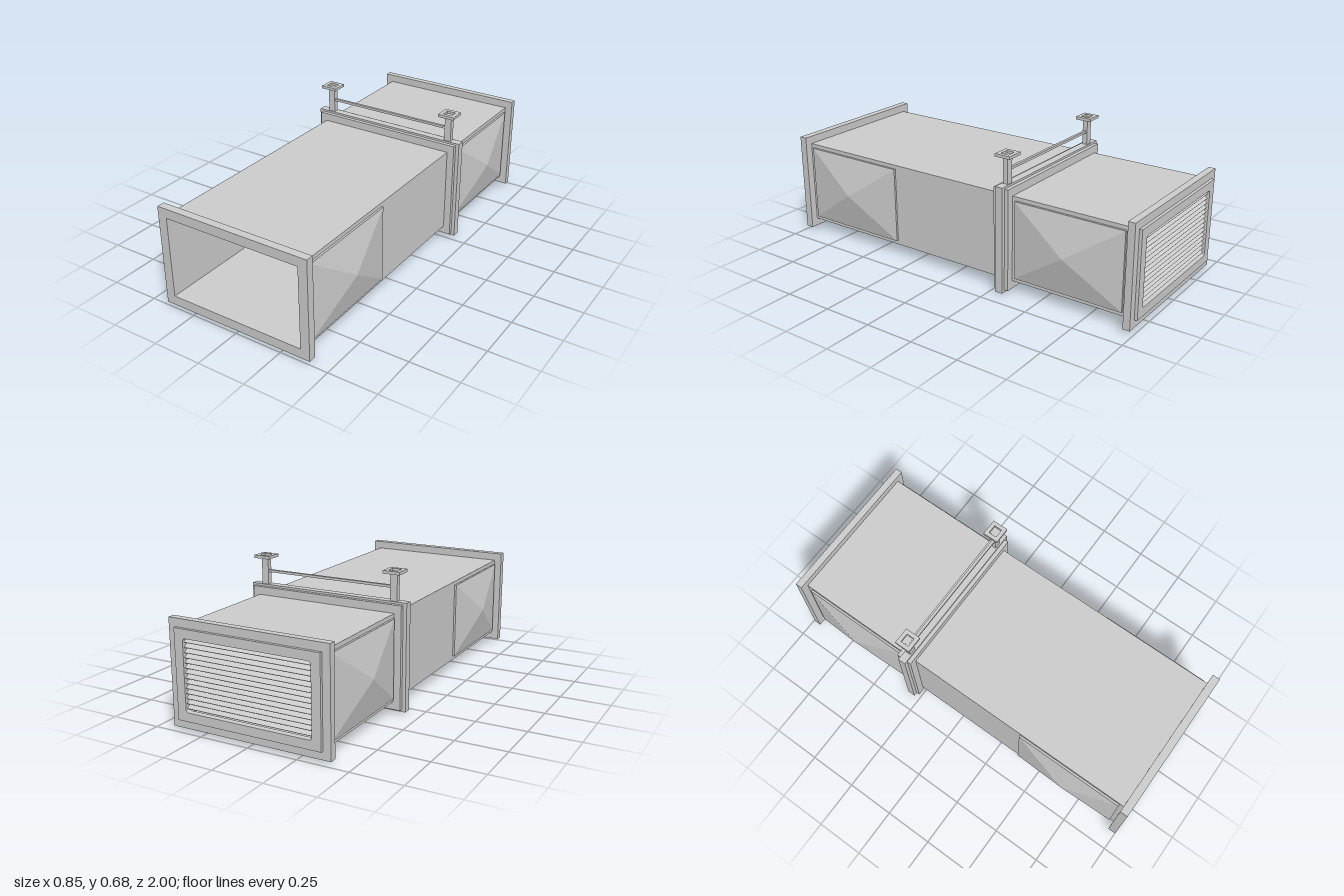
import * as THREE from 'three';

const CY = 0.275; // height of the duct axis
const mat = new THREE.MeshStandardMaterial({ color: 0xcccccc, flatShading: true, side: THREE.DoubleSide });

function add(parent, name, geometry, x = 0, y = 0, z = 0) {
  const mesh = new THREE.Mesh(geometry, mat);
  mesh.name = name;
  mesh.position.set(x, y, z);
  parent.add(mesh);
  return mesh;
}

const box = (w, h, d) => new THREE.BoxGeometry(w, h, d);

// Rectangle path, with optionally rounded corners
function trace(path, w, h, r) {
  const a = w / 2, b = h / 2;
  if (!r) {
    path.moveTo(-a, -b).lineTo(a, -b).lineTo(a, b).lineTo(-a, b).closePath();
  } else {
    path.moveTo(-a + r, -b).lineTo(a - r, -b).quadraticCurveTo(a, -b, a, -b + r)
      .lineTo(a, b - r).quadraticCurveTo(a, b, a - r, b)
      .lineTo(-a + r, b).quadraticCurveTo(-a, b, -a, b - r)
      .lineTo(-a, -b + r).quadraticCurveTo(-a, -b, -a + r, -b);
  }
  return path;
}

// Rectangular ring extruded along z from 0 to depth
function ring(w, h, holeW, holeH, depth, r = 0) {
  const shape = trace(new THREE.Shape(), w, h, 0);
  shape.holes.push(trace(new THREE.Path(), holeW, holeH, r));
  return new THREE.ExtrudeGeometry(shape, { depth, bevelEnabled: false, curveSegments: 4 });
}

// Skin through rectangles [halfX, halfZ, y], closed at the last one
function rectLoft(sections) {
  const pos = [], index = [];
  for (const [a, b, y] of sections) pos.push(-a, y, -b, a, y, -b, a, y, b, -a, y, b);
  for (let s = 0; s < sections.length - 1; s++) {
    for (let i = 0; i < 4; i++) {
      const p = s * 4 + i, q = s * 4 + (i + 1) % 4;
      index.push(p, q, q + 4, p, q + 4, p + 4);
    }
  }
  const e = (sections.length - 1) * 4;
  index.push(e, e + 1, e + 2, e, e + 2, e + 3);
  const g = new THREE.BufferGeometry();
  g.setAttribute('position', new THREE.Float32BufferAttribute(pos, 3));
  g.setIndex(index);
  const flat = g.toNonIndexed();
  flat.computeVertexNormals();
  return flat;
}

// Raised plate with a shallow pyramid, pointing along +y
function pyramidPanel(name, width, length, rise) {
  const group = new THREE.Group();
  group.name = name;
  add(group, 'panelPlate', box(width, 0.01, length), 0, 0.005, 0);
  const a = width / 2 - 0.004, b = length / 2 - 0.004;
  add(group, 'panelPyramid', rectLoft([[0.0005, 0.0005, rise], [a, b, 0.01]].reverse()));
  return group;
}

export function createModel() {
  const model = new THREE.Group();
  model.name = 'airDuct';

  // Hollow duct body and end flanges
  add(model, 'ductBody', ring(0.74, 0.43, 0.72, 0.414, 1.91), 0, CY, -0.95);
  add(model, 'frontFlange', ring(0.816, 0.51, 0.72, 0.414, 0.04), 0, CY, 0.96);
  add(model, 'backFlange', ring(0.816, 0.51, 0.72, 0.414, 0.035), 0, CY, -0.985);

  // Three-layer joint collar
  add(model, 'collar', ring(0.812, 0.51, 0.735, 0.425, 0.08), 0, CY, -0.34);
  add(model, 'collarRib', ring(0.848, 0.532, 0.735, 0.425, 0.04), 0, CY - 0.001, -0.32);

  // Back grille: frame with rounded opening and slanted slats
  add(model, 'grilleFrame', ring(0.74, 0.43, 0.65, 0.343, 0.03, 0.015), 0, CY, -1);
  for (let i = 0; i < 14; i++) {
    const slat = add(model, 'grilleSlat', box(0.652, 0.003, 0.026), 0, 0.126 + i * 0.0237, -0.98);
    slat.rotation.x = -0.6;
  }

  // Pyramid panels on both sides and underneath, near each end
  for (const z of [0.655, -0.642]) {
    for (const side of [-1, 1]) {
      const panel = pyramidPanel('sidePanel', 0.39, 0.57, 0.055);
      panel.rotation.z = -side * Math.PI / 2;
      panel.position.set(side * 0.37, CY, z);
      model.add(panel);
    }
    const bottom = pyramidPanel('bottomPanel', 0.69, 0.57, 0.059);
    bottom.rotation.z = Math.PI;
    bottom.position.set(0, 0.061, z);
    model.add(bottom);
  }

  // Air outlet underneath: outer rim, recess and inner frame
  add(model, 'bottomOutlet', rectLoft([
    [0.31, 0.235, 0.061], [0.298, 0.225, 0.02], [0.265, 0.192, 0.02], [0.255, 0.182, 0.048],
    [0.18, 0.105, 0.048], [0.165, 0.09, 0.024], [0.15, 0.075, 0.024], [0.125, 0.05, 0.055],
  ]), 0, 0, 0.055);
  const lip = add(model, 'outletInnerLip', ring(0.66, 0.48, 0.61, 0.43, 0.008), 0, 0.067, 0.055);
  lip.rotation.x = -Math.PI / 2;

  // Hangers with recessed top plates, joined by a cross rod
  for (const x of [-0.353, 0.353]) {
    add(model, 'hangerPost', box(0.036, 0.135, 0.026), x, 0.607, -0.3);
    add(model, 'hangerPlateBase', box(0.084, 0.003, 0.08), x, 0.6725, -0.3);
    const plate = add(model, 'hangerPlate', ring(0.086, 0.082, 0.046, 0.042, 0.014), x, 0.672, -0.3);
    plate.rotation.x = -Math.PI / 2;
  }
  add(model, 'crossRod', box(0.672, 0.012, 0.014), 0, 0.606, -0.3);

  return model;
}
